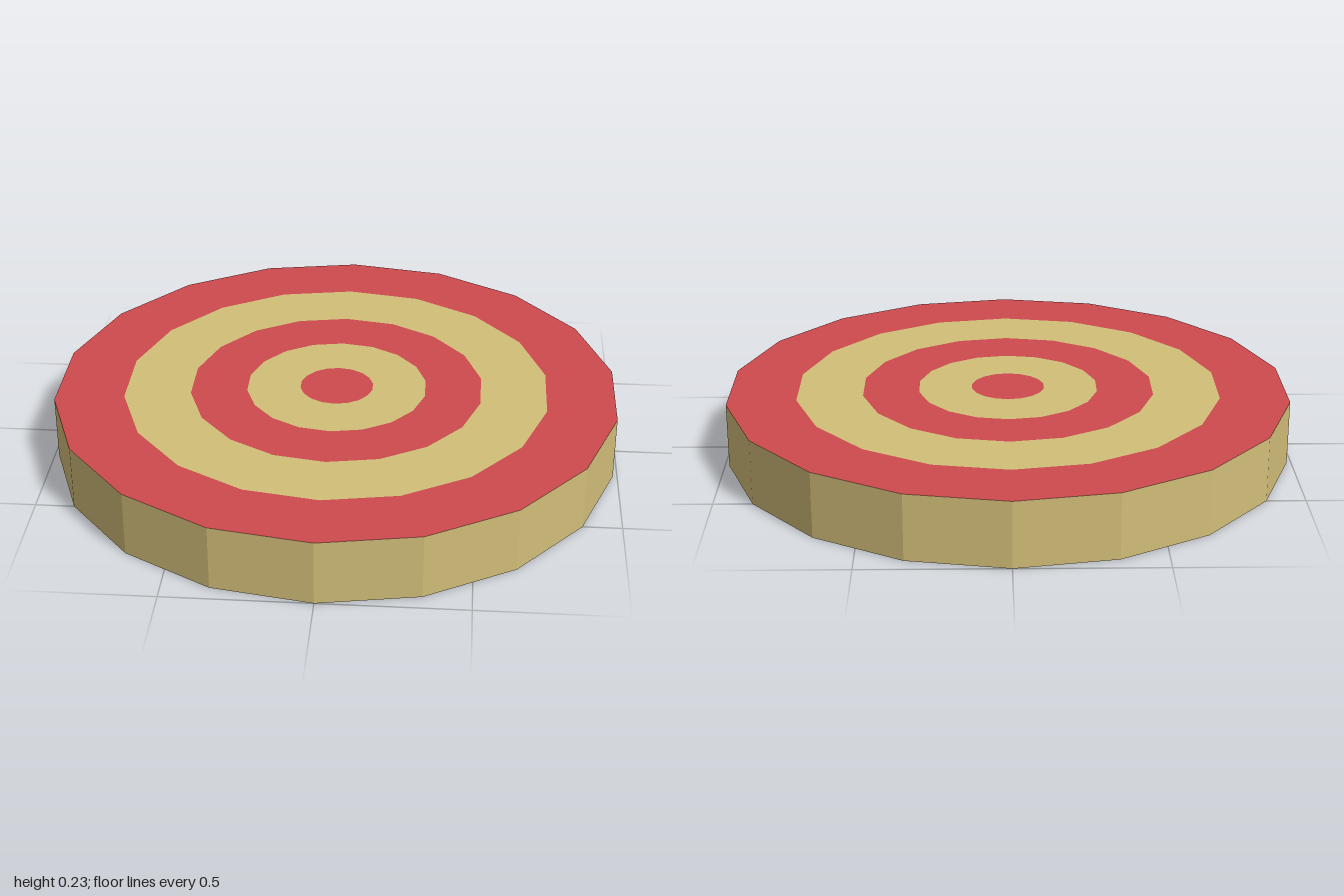
import * as THREE from 'three';

const SIDES = 18;
const HEIGHT = 0.23;
const RADII = [1, 0.755, 0.52, 0.32, 0.13, 0]; // band edges, outside to centre

export function createModel() {
  const group = new THREE.Group();
  const straw = new THREE.MeshStandardMaterial({ color: 0xd2be79 });
  straw.name = 'straw';
  straw.flatShading = true;
  const red = new THREE.MeshStandardMaterial({ color: 0xce4a4e });
  red.name = 'red';

  const add = (name, geometry, material, y) => {
    const mesh = new THREE.Mesh(geometry, material);
    mesh.name = name;
    mesh.position.y = y;
    group.add(mesh);
  };

  // Faceted rim and underside of the disc
  add('rim', new THREE.CylinderGeometry(1, 1, HEIGHT, SIDES, 1, true), straw, HEIGHT / 2);
  add('base', new THREE.CircleGeometry(1, SIDES, Math.PI / 2).rotateX(Math.PI / 2), straw, 0);

  // Flush target bands on the top, alternating red and straw
  for (let i = 0; i < RADII.length - 1; i++) {
    const [outer, inner] = [RADII[i], RADII[i + 1]];
    const band = inner > 0
      ? new THREE.RingGeometry(inner, outer, SIDES, 1, Math.PI / 2)
      : new THREE.CircleGeometry(outer, SIDES, Math.PI / 2);
    const name = inner > 0 ? `targetBand${i + 1}` : 'bullseye';
    add(name, band.rotateX(-Math.PI / 2), i % 2 ? straw : red, HEIGHT);
  }
  return group;
}
